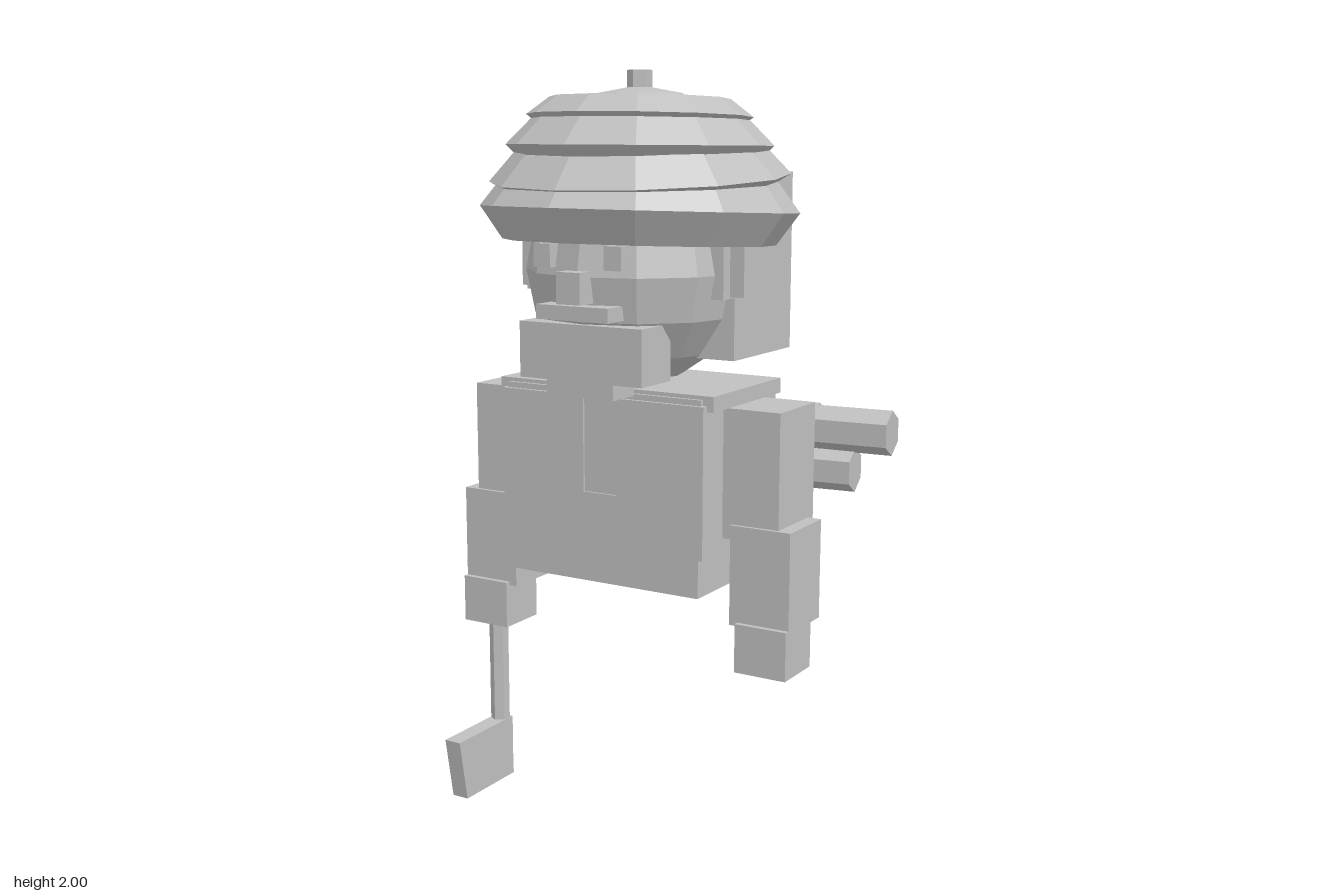
import * as THREE from 'three';

export function createModel() {
  const model = new THREE.Group();
  const grey = new THREE.MeshStandardMaterial({ color: 0xbfbfbf, flatShading: true, side: THREE.DoubleSide });
  grey.name = 'plain grey';

  const add = (name, geometry, x = 0, y = 0, z = 0) => {
    const mesh = new THREE.Mesh(geometry, grey);
    mesh.name = name;
    mesh.position.set(x, y, z);
    model.add(mesh);
    return mesh;
  };
  // Box given by its limits on each axis
  const box = (name, x0, x1, y0, y1, z0, z1) =>
    add(name, new THREE.BoxGeometry(x1 - x0, y1 - y0, z1 - z0), (x0 + x1) / 2, (y0 + y1) / 2, (z0 + z1) / 2);
  const lathe = (points, sides) =>
    new THREE.LatheGeometry(points.map(p => new THREE.Vector2(...p)), sides);

  // Torso, open waistcoat and belt
  box('torso', -0.295, 0.295, 0.68, 1.19, -0.19, 0.19);
  box('waistband', -0.295, 0.295, 0.68, 0.81, -0.2, 0.2);
  box('waistcoatBack', -0.31, 0.31, 0.78, 1.2, -0.19, -0.1);
  box('collar', -0.325, 0.325, 1.16, 1.2, -0.19, 0.18);
  box('shirtFront', -0.05, 0.05, 0.81, 1.175, 0.15, 0.194);
  box('buckle', -0.05, 0.05, 0.81, 0.92, 0.15, 0.2);

  for (const s of [-1, 1]) {
    const side = s > 0 ? 'left' : 'right';
    const pair = (name, x0, x1, ...rest) =>
      box(side + name, Math.min(s * x0, s * x1), Math.max(s * x0, s * x1), ...rest);
    pair('Waistcoat', 0.05, 0.307, 0.78, 1.175, -0.15, 0.2);
    // Arms
    pair('UpperArm', 0.31, 0.47, 0.82, 1.16, -0.1, 0.1);
    pair('Forearm', 0.338, 0.508, 0.595, 0.86, -0.07, 0.11);
    pair('Hand', 0.362, 0.508, 0.475, 0.605, -0.02, 0.125);
    // Face sides and eyes
    pair('Ear', 0.27, 0.34, 1.435, 1.57, -0.05, 0.055);
    pair('Sideburn', 0.25, 0.3, 1.43, 1.6, 0, 0.09);
    pair('Eye', 0.08, 0.13, 1.51, 1.57, 0.24, 0.3);
  }

  // Head, hair and face
  add('head', new THREE.SphereGeometry(0.3, 12, 8), 0, 1.49, 0);
  box('hair', -0.303, 0.303, 1.27, 1.74, -0.285, 0.035);
  box('nose', -0.035, 0.035, 1.425, 1.505, 0.26, 0.34);
  box('moustache', -0.107, 0.107, 1.383, 1.42, 0.24, 0.325);
  box('beard', -0.183, 0.183, 1.225, 1.37, 0.15, 0.29);
  box('beardTip', -0.1, 0.1, 1.185, 1.23, 0.19, 0.29);

  // Hat: overlapping pointed rings, each slightly tilted; profile is relative to the ring's height
  const rings = [
    [1.645, -0.048, [[0.28, -0.07], [0.36, -0.085], [0.42, 0], [0.355, 0.085], [0.26, 0.09]]],
    [1.727, 0.055, [[0.27, -0.03], [0.335, -0.035], [0.395, 0], [0.325, 0.075], [0.24, 0.08]]],
    [1.81, -0.012, [[0.24, -0.02], [0.315, -0.035], [0.35, 0], [0.28, 0.07], [0.2, 0.07]]],
    [1.885, -0.03, [[0.2, -0.02], [0.27, -0.02], [0.295, 0], [0.235, 0.045], [0.185, 0.04], [0.15, 0]]],
  ];
  rings.forEach(([y, tilt, profile], i) => {
    add('hatRing' + (i + 1), lathe(profile, 12), 0, y, 0).rotation.x = tilt;
  });
  add('hatCrown', lathe([[0.22, 1.84], [0.19, 1.895], [0.11, 1.942], [0, 1.962]], 12));
  add('hatStem', new THREE.CylinderGeometry(0.033, 0.033, 0.07, 6), 0, 1.965, 0);

  // Tool held in the right hand
  add('toolShaft', new THREE.CylinderGeometry(0.027, 0.027, 0.45, 6), -0.435, 0.275, 0.065);
  const blade = new THREE.Shape([[-0.29, 0.175], [-0.05, 0.175], [-0.038, 0], [-0.26, 0]]
    .map(p => new THREE.Vector2(...p)));
  const bladeGeometry = new THREE.ExtrudeGeometry(blade, { depth: 0.05, bevelEnabled: false });
  bladeGeometry.rotateY(Math.PI / 2);
  add('toolBlade', bladeGeometry, -0.46, 0, 0);
  box('toolSocket', -0.46, -0.41, 0, 0.175, 0.04, 0.09);

  // Two hexagonal rods slung across the back
  const rod = (name, radius, x0, z0, x1, z1, y) => {
    const geometry = new THREE.CylinderGeometry(radius, radius, Math.hypot(x1 - x0, z1 - z0), 6);
    geometry.rotateY(Math.PI / 2);
    geometry.rotateZ(-Math.PI / 2);
    geometry.rotateX(Math.PI / 2);
    // Turn the hexagon so a flat side lies on top
    geometry.rotateX(Math.PI / 2);
    add(name, geometry, (x0 + x1) / 2, y, (z0 + z1) / 2).rotation.y = -Math.atan2(z1 - z0, x1 - x0);
  };
  rod('upperRod', 0.062, -0.58, -0.25, 0.58, -0.355, 1.047);
  rod('upperSleeve', 0.067, -0.58, -0.25, -0.38, -0.268, 1.047);
  rod('upperGrip', 0.067, 0.27, -0.335, 0.37, -0.344, 1.047);
  rod('lowerRod', 0.062, -0.475, -0.245, 0.475, -0.355, 0.935);
  rod('lowerGrip', 0.068, 0.18, -0.33, 0.27, -0.34, 0.935);

  return model;
}
